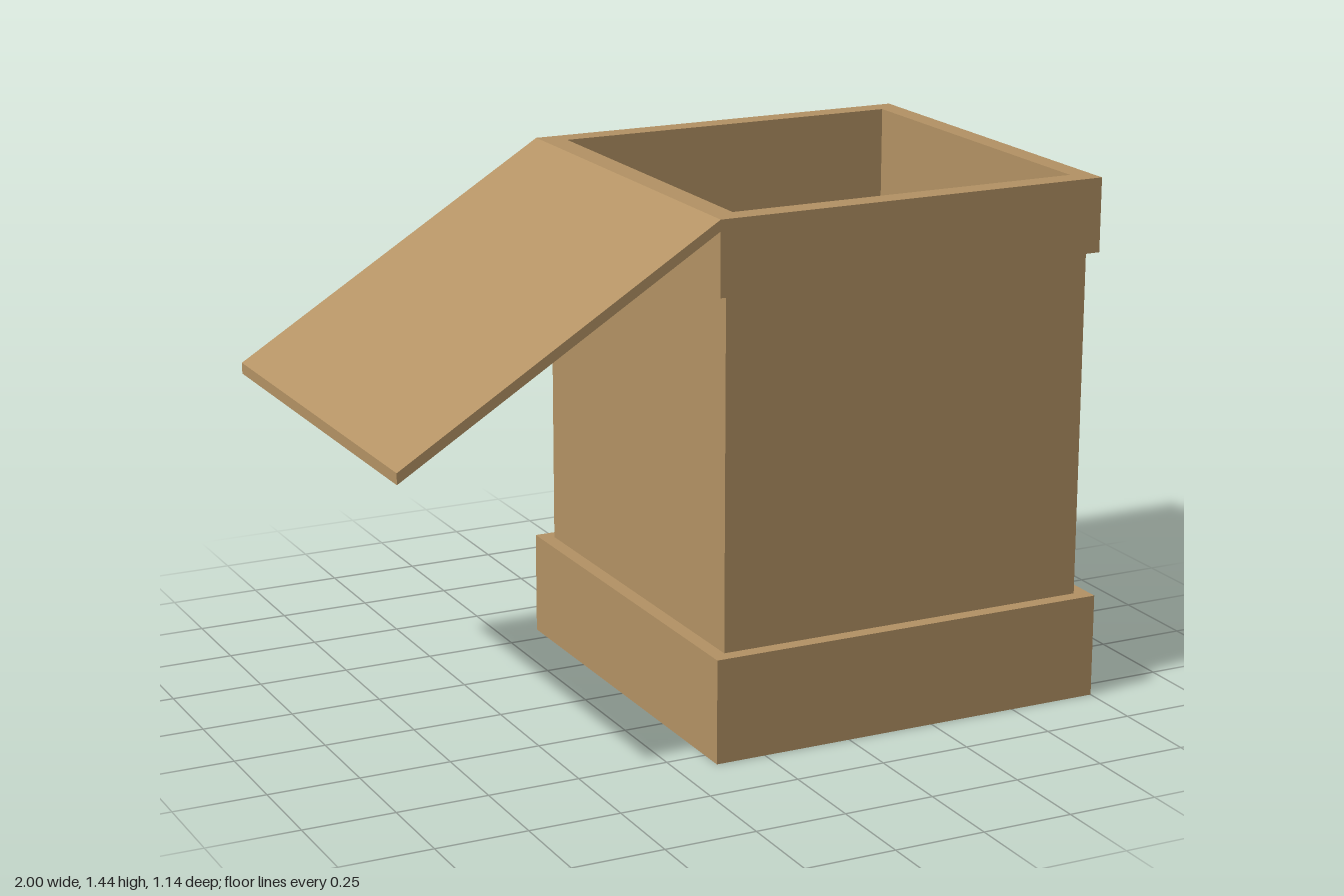
import * as THREE from 'three';

export function createModel() {
  const group = new THREE.Group();
  const wood = new THREE.MeshStandardMaterial({ color: 0xb39264 });
  wood.name = 'tan wood';
  const cx = 0.43;      // box centre along x
  const inner = 0.495;  // half width of the opening

  const add = (name, geometry) => {
    const mesh = new THREE.Mesh(geometry, wood);
    mesh.name = name;
    group.add(mesh);
    return mesh;
  };

  const trace = (path, x0, x1, h) => {
    path.moveTo(x0, -h);
    path.lineTo(x1, -h);
    path.lineTo(x1, h);
    path.lineTo(x0, h);
    path.closePath();
    return path;
  };

  // Upright square frame with an open centre
  const frame = (name, x0, x1, halfDepth, y0, y1) => {
    const shape = trace(new THREE.Shape(), x0, x1, halfDepth);
    shape.holes.push(trace(new THREE.Path(), cx - inner, cx + inner, inner));
    const geo = new THREE.ExtrudeGeometry(shape, { depth: y1 - y0, bevelEnabled: false });
    geo.rotateX(-Math.PI / 2).translate(0, y0, 0);
    return add(name, geo);
  };

  // Hollow box with wider trim at bottom and top
  frame('baseTrim', -0.14, 1.0, 0.57, 0, 0.285);
  frame('walls', -0.1, 0.96, 0.53, 0.285, 1.235);
  frame('topTrim', -0.13, 0.983, 0.558, 1.235, 1.435);

  // Floor closing the bottom
  add('floor', new THREE.BoxGeometry(inner * 2, 0.03, inner * 2)).position.set(cx, 0.015, 0);

  // Open lid, hinged on the right edge and sloping down
  const lid = new THREE.Shape([
    [-0.13, 1.435], [-1, 0.9], [-1, 0.87], [-0.13, 1.405],
  ].map(([x, y]) => new THREE.Vector2(x, y)));
  const lidGeo = new THREE.ExtrudeGeometry(lid, { depth: 1.116, bevelEnabled: false });
  add('lid', lidGeo.translate(0, 0, -0.558));

  return group;
}
